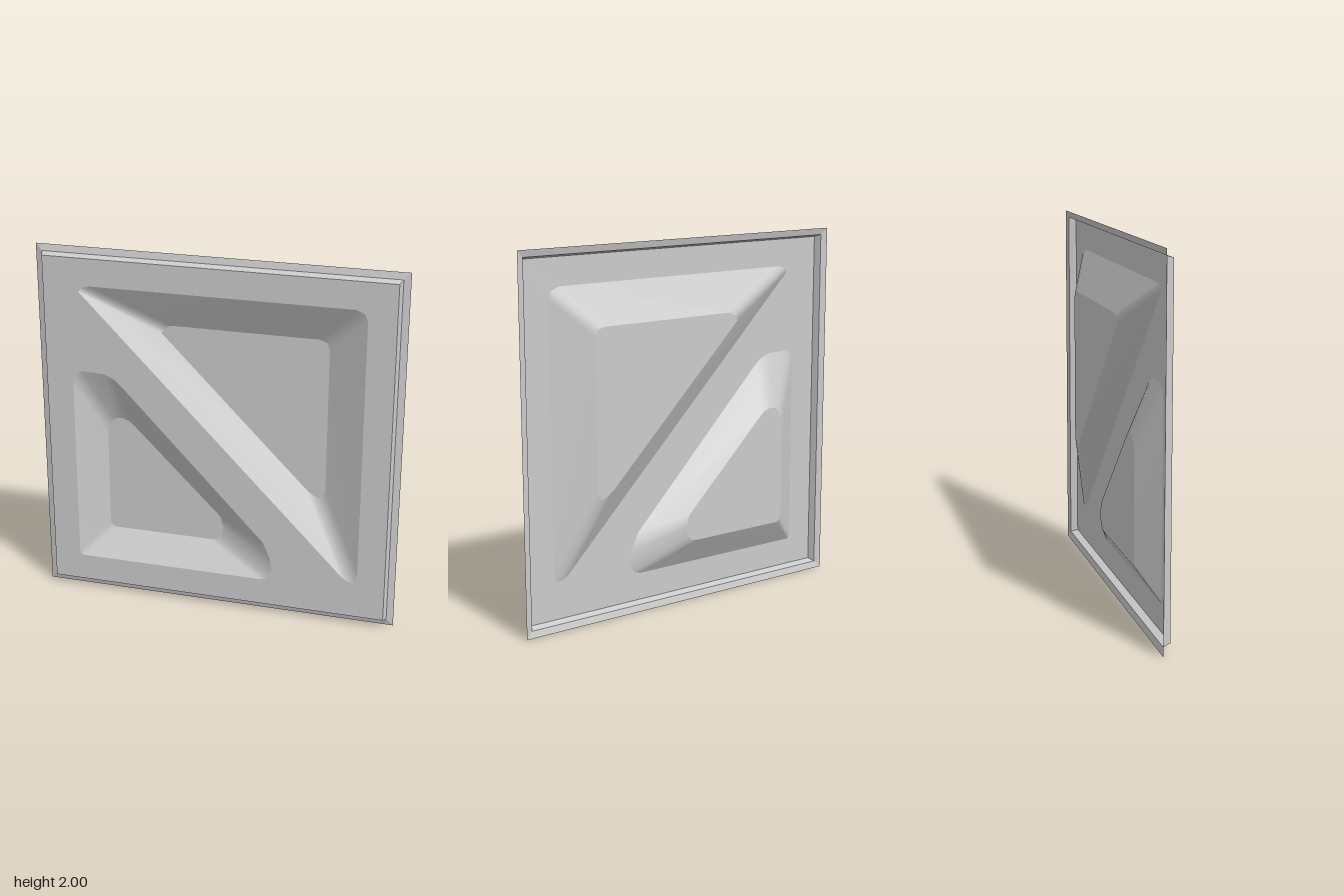
import * as THREE from 'three';

const FRONT = 0.05, BACK = -0.05;

// Each recess: matching outlines at the face (outer) and the floor (inner), counter-clockwise
const RECESSES = [
  {
    name: 'lowerRecess',
    outer: [[-0.80, 0.22], [-0.785, 0.20], [0.26, 0.20], [0.30, 0.215], [0.32, 0.26], [0.315, 0.33], [0.27, 0.43],
      [-0.52, 1.25], [-0.565, 1.29], [-0.62, 1.315], [-0.75, 1.32], [-0.785, 1.295], [-0.80, 1.24]],
    inner: [[-0.645, 0.375], [-0.62, 0.355], [-0.06, 0.355], [-0.02, 0.36], [0.01, 0.385], [0.02, 0.44], [0.0, 0.505],
      [-0.49, 0.99], [-0.52, 1.015], [-0.565, 1.03], [-0.605, 1.02], [-0.63, 0.99], [-0.645, 0.94]],
  },
  {
    name: 'upperRecess',
    outer: [[-0.75, 1.765], [0.71, 0.285], [0.745, 0.26], [0.785, 0.25], [0.80, 0.315],
      [0.80, 1.74], [0.785, 1.78], [0.74, 1.80], [-0.69, 1.80], [-0.735, 1.79]],
    inner: [[-0.325, 1.545], [0.49, 0.725], [0.525, 0.70], [0.56, 0.685], [0.59, 0.73],
      [0.59, 1.54], [0.575, 1.575], [0.54, 1.59], [-0.27, 1.59], [-0.30, 1.575]],
  },
];

const outline = (pts, Type) => new Type(pts.map(([x, y]) => new THREE.Vector2(x, y)));
const square = (h) => [[-h, 1 - h], [h, 1 - h], [h, 1 + h], [-h, 1 + h]];

// Closed band of quads between two outlines at different depths
function band(outer, zOuter, inner, zInner) {
  const n = outer.length;
  const pos = [], index = [];
  for (const [x, y] of outer) pos.push(x, y, zOuter);
  for (const [x, y] of inner) pos.push(x, y, zInner);
  for (let i = 0; i < n; i++) {
    const j = (i + 1) % n;
    index.push(i, j, n + j, i, n + j, n + i);
  }
  const geo = new THREE.BufferGeometry();
  geo.setAttribute('position', new THREE.Float32BufferAttribute(pos, 3));
  geo.setIndex(index);
  geo.computeVertexNormals();
  return geo;
}

export function createModel() {
  const group = new THREE.Group();
  const smooth = new THREE.MeshStandardMaterial({ color: 0xcccccc, side: THREE.DoubleSide });
  const flat = new THREE.MeshStandardMaterial({ color: 0xcccccc, side: THREE.DoubleSide, flatShading: true });

  const add = (name, geo, material, z = 0) => {
    const mesh = new THREE.Mesh(geo, material);
    mesh.name = name;
    mesh.position.z = z;
    group.add(mesh);
  };

  // Sloping border flange and the step up to the face
  add('borderFlange', band(square(1), 0, square(0.963), 0.01), flat);
  add('borderStep', band(square(0.963), 0.01, square(0.95), FRONT), flat);

  // Flat face with the recess openings cut out
  const face = outline(square(0.95), THREE.Shape);
  for (const r of RECESSES) face.holes.push(outline(r.outer, THREE.Path));
  add('facePanel', new THREE.ShapeGeometry(face), flat, FRONT);

  // Pressed recesses: sloping walls and flat floors
  for (const r of RECESSES) {
    add(r.name + 'Walls', band(r.outer, FRONT, r.inner, BACK), smooth);
    add(r.name + 'Floor', new THREE.ShapeGeometry(outline(r.inner, THREE.Shape)), flat, BACK);
  }
  return group;
}
